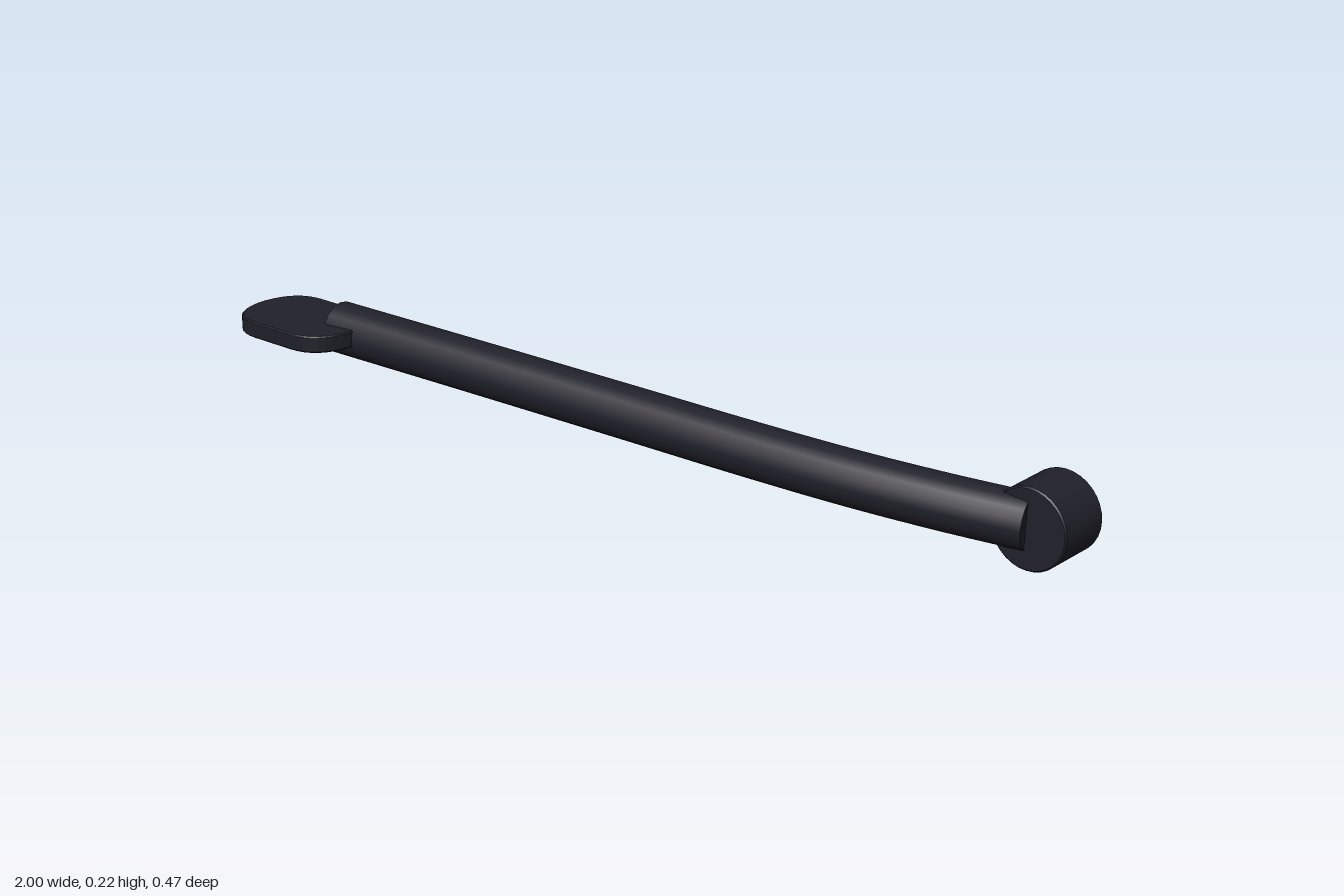
import * as THREE from 'three';

export function createModel() {
  const model = new THREE.Group();
  const dark = new THREE.MeshStandardMaterial({ color: 0x20202a });
  dark.name = 'dark graphite';

  const add = (name, geometry, parent = model) => {
    const mesh = new THREE.Mesh(geometry, dark);
    mesh.name = name;
    parent.add(mesh);
    return mesh;
  };

  // Arm: a round bar, gently bent towards the pivot end
  const R = 0.058;
  const arm = new THREE.Group();
  arm.name = 'arm';
  model.add(arm);
  const path = new THREE.CatmullRomCurve3([
    [-0.785, 0.163, 0.088], [-0.4, 0.147, 0.047], [0, 0.13, 0.006],
    [0.28, 0.118, -0.022], [0.52, 0.108, -0.052], [0.72, 0.1, -0.088], [0.902, 0.093, -0.13],
  ].map((p) => new THREE.Vector3(...p)));
  add('armBar', new THREE.TubeGeometry(path, 32, R, 16, false), arm);

  // Flat caps that close both ends of the bar
  for (const [t, sign, name] of [[0, -1, 'armCapPadEnd'], [1, 1, 'armCapPivotEnd']]) {
    const cap = add(name, new THREE.CircleGeometry(R, 16), arm);
    const point = path.getPointAt(t);
    cap.position.copy(point);
    cap.lookAt(point.clone().addScaledVector(path.getTangentAt(t), sign));
  }

  // Pivot: short cylinder along z with a fine bevel; corners doubled to keep edges sharp
  const pr = 0.088, h = 0.065, b = 0.003;
  const profile = [
    [0, -h], [pr - b, -h], [pr - b, -h], [pr, -h + b], [pr, -h + b],
    [pr, h - b], [pr, h - b], [pr - b, h], [pr - b, h], [0, h],
  ].map((p) => new THREE.Vector2(...p));
  const pivot = add('pivot', new THREE.LatheGeometry(profile, 32));
  pivot.rotation.x = Math.PI / 2;
  pivot.position.set(0.912, 0.088, -0.17);

  // Pedal pad: flat plate with strongly rounded corners
  const bevel = 0.003, w = 0.15 - bevel, d = 0.105 - bevel, r = 0.09;
  const outline = new THREE.Shape();
  outline.moveTo(-w + r, -d);
  outline.lineTo(w - r, -d);
  outline.quadraticCurveTo(w - 0.01, -d, w, -d + r);
  outline.lineTo(w, d - r);
  outline.quadraticCurveTo(w - 0.01, d, w - r, d);
  outline.lineTo(-w + r, d);
  outline.quadraticCurveTo(-w + 0.01, d, -w, d - r);
  outline.lineTo(-w, -d + r);
  outline.quadraticCurveTo(-w + 0.01, -d, -w + r, -d);
  const padGeometry = new THREE.ExtrudeGeometry(outline, {
    depth: 0.038 - 2 * bevel, bevelEnabled: true, bevelThickness: bevel,
    bevelSize: bevel, bevelSegments: 1, curveSegments: 8,
  });
  padGeometry.center();
  padGeometry.rotateX(-Math.PI / 2);
  add('pad', padGeometry).position.set(-0.85, 0.166, 0.13);

  return model;
}
